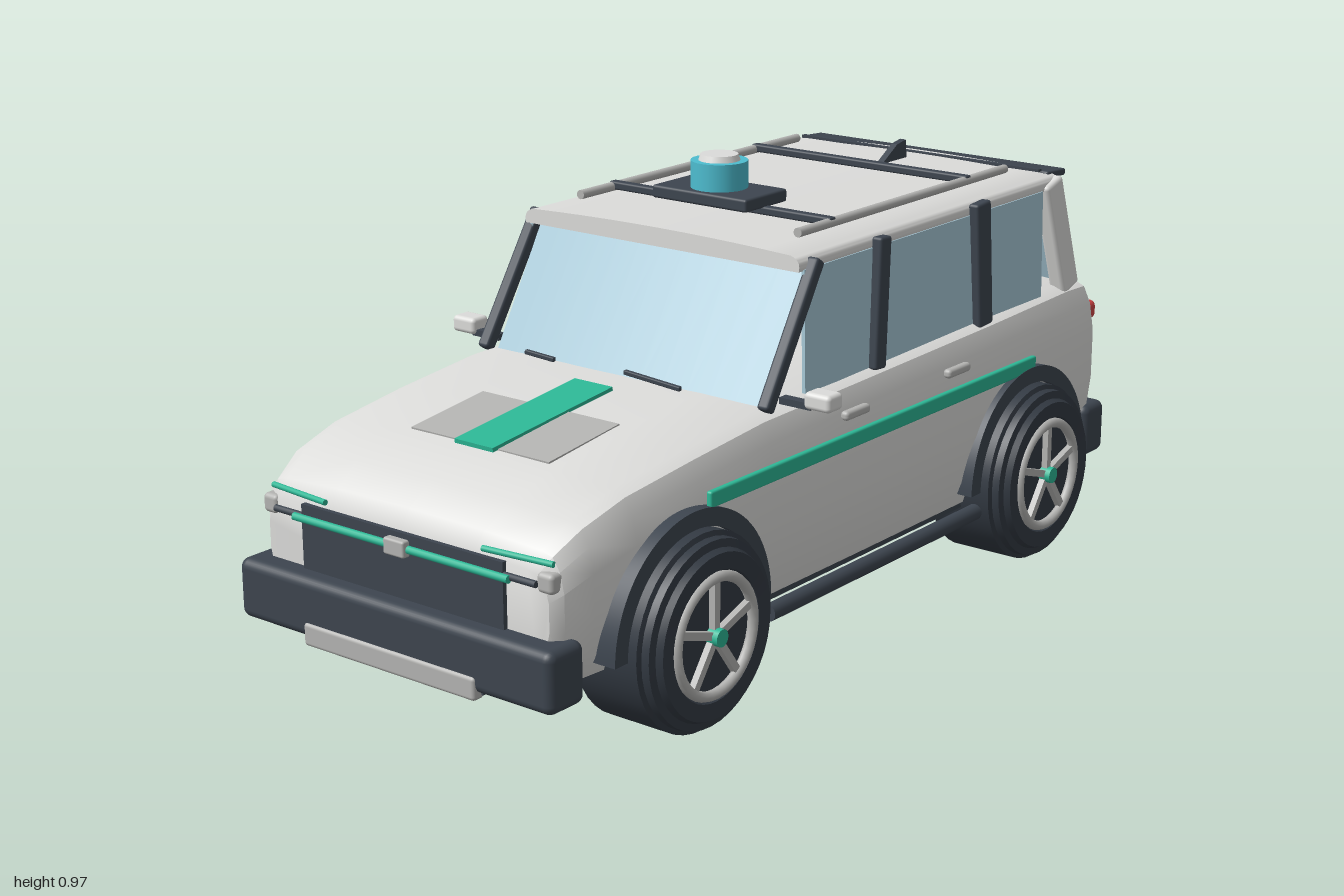
import * as THREE from 'three';
import { toCreasedNormals } from 'three/addons/utils/BufferGeometryUtils.js';
import { RoundedBoxGeometry } from 'three/addons/geometries/RoundedBoxGeometry.js';

const mat = (name, color, side = THREE.FrontSide) => {
  const m = new THREE.MeshStandardMaterial({ color, side });
  m.name = name;
  return m;
};

export function createModel() {
  const white = mat('body white', 0xdcdcda);
  const silver = mat('silver', 0xb4b4b2);
  const dark = mat('dark trim', 0x3d454f);
  const tyreMat = mat('tyre', 0x333a43);
  const green = mat('green accent', 0x2db896);
  const glass = mat('glass', 0xa9cad8, THREE.DoubleSide);
  const cyan = mat('sensor cyan', 0x4dbdd0);
  const red = mat('tail light red', 0xd04545);

  const car = new THREE.Group();
  car.name = 'car';
  const add = (name, geo, material, x = 0, y = 0, z = 0, parent = car) => {
    const m = new THREE.Mesh(geo, material);
    m.name = name;
    m.position.set(x, y, z);
    parent.add(m);
    return m;
  };
  const box = (name, w, h, d, material, x, y, z, r = 0, parent = car) =>
    add(name, r ? new RoundedBoxGeometry(w, h, d, 3, r) : new THREE.BoxGeometry(w, h, d), material, x, y, z, parent);
  // Beam between two points; w across x, d across z
  const beam = (name, a, b, w, d, material, round = false) => {
    const p = new THREE.Vector3(...a), q = new THREE.Vector3(...b), len = p.distanceTo(q);
    const geo = round ? new THREE.CylinderGeometry(w / 2, w / 2, len, 14)
      : new RoundedBoxGeometry(w, len, d, 2, Math.min(w, d) * 0.25);
    const m = add(name, geo, material);
    m.position.copy(p).add(q).multiplyScalar(0.5);
    m.quaternion.setFromUnitVectors(new THREE.Vector3(0, 1, 0), q.sub(p).normalize());
    return m;
  };

  // Lower body lofted through sections: z, top, bottom, half width
  const stations = [
    [0.945, 0.40, 0.21, 0.365], [0.925, 0.435, 0.18, 0.385], [0.86, 0.475, 0.17, 0.4],
    [0.745, 0.508, 0.168, 0.408], [0.55, 0.532, 0.168, 0.415], [0.33, 0.553, 0.168, 0.418],
    [0, 0.56, 0.168, 0.42], [-0.5, 0.57, 0.168, 0.42], [-0.85, 0.575, 0.17, 0.41],
    [-0.935, 0.568, 0.185, 0.402], [-0.957, 0.535, 0.2, 0.39]];
  const section = ([z, t, b, w]) => {
    const h = t - b;
    const half = [[0.92, b], [0.97, b + h * 0.15], [1, b + h * 0.4], [1, b + h * 0.7],
      [0.975, t - h * 0.14], [0.93, t - h * 0.04], [0.86, t - 0.003], [0.5, t + 0.004]];
    const right = half.map(([k, y]) => [k * w, y, z]);
    const left = half.map(([k, y]) => [-k * w, y, z]).reverse();
    return [...right, [0, t + 0.006, z], ...left];
  };
  const rings = stations.map(section), n = rings[0].length, pos = rings.flat(2), idx = [];
  for (let i = 0; i < rings.length - 1; i++)
    for (let j = 0; j < n; j++) {
      const a = i * n + j, b = i * n + (j + 1) % n, c = a + n, d = b + n;
      idx.push(a, c, b, b, c, d);
    }
  const last = (rings.length - 1) * n;
  for (let j = 1; j < n - 1; j++) {
    idx.push(0, j, j + 1);
    idx.push(last, last + j + 1, last + j);
  }
  const bodyGeo = new THREE.BufferGeometry();
  bodyGeo.setAttribute('position', new THREE.Float32BufferAttribute(pos, 3));
  bodyGeo.setIndex(idx);
  add('body', toCreasedNormals(bodyGeo, 0.6), white);
  box('underTray', 0.76, 0.02, 1.2, dark, 0, 0.163, -0.22);

  // Roof: crowned cross-section extruded front to back
  const roof = new THREE.Shape();
  roof.moveTo(-0.36, 0.805);
  roof.lineTo(0.36, 0.805);
  roof.quadraticCurveTo(0.368, 0.83, 0.34, 0.837);
  roof.quadraticCurveTo(0, 0.853, -0.34, 0.837);
  roof.quadraticCurveTo(-0.368, 0.83, -0.36, 0.805);
  const roofGeo = new THREE.ExtrudeGeometry(roof, { depth: 1.0, bevelEnabled: false, curveSegments: 10 });
  add('roof', toCreasedNormals(roofGeo, 0.6), white, 0, 0, -0.82);

  // Bowed front and rear glass
  const pane = (name, halfW, yb, zb, yt, zt, bulge) => {
    const g = new THREE.PlaneGeometry(2, 1, 12, 1), p = g.attributes.position;
    for (let i = 0; i < p.count; i++) {
      const u = p.getX(i), v = p.getY(i) + 0.5;
      p.setXYZ(i, u * halfW, yb + (yt - yb) * v, zb + (zt - zb) * v + bulge * (1 - u * u));
    }
    g.computeVertexNormals();
    add(name, g, glass);
  };
  pane('windshield', 0.35, 0.55, 0.29, 0.815, 0.135, 0.025);
  pane('rearWindow', 0.35, 0.565, -0.885, 0.815, -0.79, -0.015);

  for (const s of [1, -1]) {
    // Side glass and pillars
    const windows = box('sideWindows', 0.008, 0.255, 0.915, glass, s * 0.362, 0.68, -0.293);
    windows.rotation.z = s * 0.02;
    beam('frontPillar', [s * 0.372, 0.55, 0.305], [s * 0.368, 0.825, 0.13], 0.028, 0.03, dark);
    beam('middlePillar', [s * 0.374, 0.55, -0.08], [s * 0.372, 0.83, -0.095], 0.026, 0.04, dark);
    beam('backPillar', [s * 0.374, 0.555, -0.49], [s * 0.372, 0.835, -0.47], 0.026, 0.055, dark);
    beam('rearPillar', [s * 0.36, 0.56, -0.87], [s * 0.352, 0.825, -0.79], 0.04, 0.07, white);

    // Side details
    box('sideStripe', 0.014, 0.034, 1.185, green, s * 0.427, 0.447, -0.037, 0.005);
    beam('sill', [s * 0.435, 0.163, 0.375], [s * 0.435, 0.163, -0.385], 0.036, 0.036, dark, true);
    for (const z of [0.07, -0.31]) box('doorHandle', 0.02, 0.02, 0.085, silver, s * 0.427, 0.503, z, 0.008);
    box('mirrorArm', 0.075, 0.014, 0.022, dark, s * 0.412, 0.563, 0.25);
    box('mirror', 0.064, 0.036, 0.05, white, s * 0.47, 0.577, 0.245, 0.01);

    // Lamps
    box('headlight', 0.04, 0.04, 0.04, silver, s * 0.358, 0.38, 0.93, 0.01);
    beam('runningLight', [s * 0.205, 0.414, 0.945], [s * 0.365, 0.414, 0.93], 0.012, 0.012, green, true);
    box('tailLight', 0.045, 0.045, 0.04, red, s * 0.372, 0.495, -0.945, 0.015);

    // Roof rails
    beam('roofRail', [s * 0.288, 0.858, 0.085], [s * 0.288, 0.858, -0.705], 0.02, 0.02, silver, true);
  }

  // Wheels and arch flares
  const tyreGeo = toCreasedNormals(new THREE.LatheGeometry([
    [0, 0.3], [0.2, 0.3], [0.2, 0.452], [0.19, 0.456], [0.188, 0.472], [0.172, 0.475],
    [0.166, 0.488], [0.132, 0.486], [0.126, 0.472], [0, 0.472]].map(([r, y]) => new THREE.Vector2(r, y)), 40), 0.5);
  tyreGeo.rotateZ(-Math.PI / 2);
  const rimGeo = new THREE.TorusGeometry(0.118, 0.011, 8, 36).rotateY(Math.PI / 2);
  const hubGeo = new THREE.CylinderGeometry(0.018, 0.018, 0.03, 16).rotateZ(Math.PI / 2);
  const archShape = new THREE.Shape();
  archShape.absarc(0, 0, 0.24, 0, Math.PI, false);
  archShape.absarc(0, 0, 0.203, Math.PI, 0, true);
  const archGeo = toCreasedNormals(new THREE.ExtrudeGeometry(archShape,
    { depth: 0.06, bevelEnabled: false, curveSegments: 24 }).rotateY(Math.PI / 2), 0.5);
  for (const z of [0.605, -0.61])
    for (const s of [1, -1]) {
      const wheel = new THREE.Group();
      wheel.name = 'wheel';
      wheel.position.set(0, 0.2, z);
      wheel.rotation.y = s > 0 ? 0 : Math.PI;
      car.add(wheel);
      add('tyre', tyreGeo, tyreMat, 0, 0, 0, wheel);
      add('rim', rimGeo, silver, 0.482, 0, 0, wheel);
      add('hub', hubGeo, green, 0.484, 0, 0, wheel);
      for (let i = 0; i < 5; i++) {
        const a = Math.PI / 2 + i * Math.PI * 0.4;
        const spoke = box('spoke', 0.014, 0.1, 0.016, silver, 0.48, Math.sin(a) * 0.066, Math.cos(a) * 0.066, 0, wheel);
        spoke.rotation.x = Math.PI / 2 - a;
      }
      add('archFlare', archGeo, dark, 0.375, 0, 0, wheel);
    }

  // Front end
  box('frontBumper', 0.82, 0.125, 0.1, dark, 0, 0.207, 0.945, 0.02);
  box('bumperLip', 0.46, 0.02, 0.07, dark, 0, 0.15, 0.945);
  box('frontSkidPlate', 0.45, 0.048, 0.03, silver, 0, 0.155, 0.985, 0.008);
  box('grille', 0.525, 0.15, 0.03, dark, 0, 0.327, 0.94);
  beam('grilleBar', [-0.34, 0.376, 0.95], [0.34, 0.376, 0.95], 0.014, 0.014, dark, true);
  beam('frontLightBar', [-0.28, 0.374, 0.958], [0.28, 0.374, 0.958], 0.016, 0.016, green, true);
  box('frontBadge', 0.054, 0.034, 0.02, silver, 0, 0.375, 0.962, 0.005);

  // Hood panel, stripe and wipers
  const hoodPanel = box('hoodPanel', 0.36, 0.008, 0.21, silver, 0, 0.526, 0.625);
  hoodPanel.rotation.x = 0.115;
  const hoodStripe = box('hoodStripe', 0.1, 0.009, 0.36, green, 0, 0.538, 0.565);
  hoodStripe.rotation.x = 0.105;
  beam('wiper', [-0.25, 0.566, 0.312], [-0.17, 0.562, 0.312], 0.01, 0.01, dark);
  beam('wiper', [0.02, 0.57, 0.312], [0.17, 0.562, 0.317], 0.01, 0.01, dark);

  // Rear end
  box('rearBumper', 0.82, 0.125, 0.09, dark, 0, 0.207, -0.952, 0.02);
  box('rearSkidPlate', 0.45, 0.045, 0.03, silver, 0, 0.16, -0.985, 0.008);
  beam('rearLightBar', [-0.38, 0.495, -0.96], [0.38, 0.495, -0.96], 0.02, 0.02, red, true);
  box('rearBadge', 0.05, 0.03, 0.02, green, 0, 0.495, -0.968, 0.005);
  box('plateFrame', 0.19, 0.06, 0.012, dark, 0, 0.355, -0.96);
  box('plate', 0.17, 0.042, 0.006, silver, 0, 0.355, -0.968);
  beam('rearWiper', [-0.05, 0.582, -0.905], [0.12, 0.582, -0.905], 0.01, 0.01, dark);
  const spoiler = box('rearSpoiler', 0.69, 0.016, 0.08, dark, 0, 0.832, -0.84, 0.005);
  spoiler.rotation.x = -0.06;
  box('roofTrim', 0.66, 0.006, 0.012, dark, 0, 0.845, -0.79);

  // Roof rack, sensor pod and fin
  for (const z of [-0.03, -0.545])
    beam('crossBar', [-0.295, 0.861, z], [0.295, 0.861, z], 0.018, 0.022, dark);
  box('sensorBase', 0.25, 0.028, 0.145, dark, 0, 0.881, -0.03, 0.006);
  add('sensorDrum', new THREE.CylinderGeometry(0.061, 0.061, 0.058, 28), cyan, 0, 0.924, -0.03);
  add('sensorCap', new THREE.CylinderGeometry(0.04, 0.045, 0.014, 24), white, 0, 0.959, -0.03);
  const fin = new THREE.Shape([[0.05, 0], [-0.05, 0], [-0.045, 0.042], [-0.01, 0.036]].map(p => new THREE.Vector2(...p)));
  const finGeo = new THREE.ExtrudeGeometry(fin, { depth: 0.016, bevelEnabled: false }).rotateY(-Math.PI / 2);
  add('roofFin', finGeo, dark, 0.008, 0.845, -0.68);

  return car;
}
